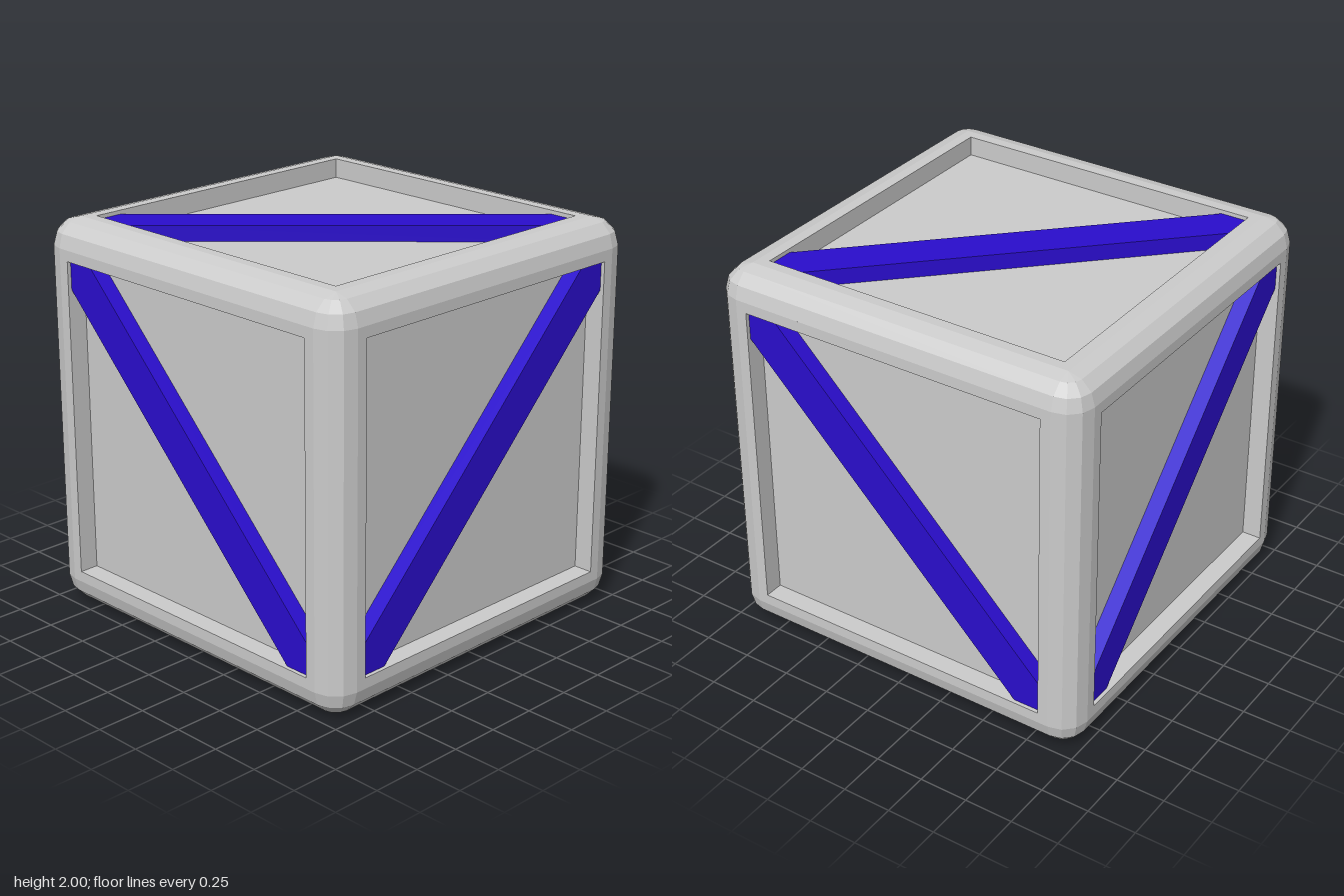
import * as THREE from 'three';

const R = 0.135;          // edge rounding radius
const FLAT = 1 - R;       // half-size of the flat part of a face
const INNER = 0.81;       // half-size of the recessed panel
const FLOOR = 0.9;        // panel distance from the centre
const CUT = 0.145;        // bar corner cut
const BAR_TOP = 0.98;

const points = list => list.map(([x, y]) => new THREE.Vector2(x, y));
const square = s => points([[-s, -s], [s, -s], [s, s], [-s, s]]);

export function createModel() {
  const grey = new THREE.MeshStandardMaterial({ color: 0xcccccc, flatShading: true });
  const blue = new THREE.MeshStandardMaterial({ color: 0x2a0dcc, flatShading: true });
  const model = new THREE.Group();
  model.name = 'cube';
  const cube = new THREE.Group();
  cube.name = 'cubeBody';
  cube.position.y = 1;
  model.add(cube);

  const add = (parent, name, geometry, material) => {
    const mesh = new THREE.Mesh(geometry, material);
    mesh.name = name;
    parent.add(mesh);
    return mesh;
  };

  // Face parts, built facing +z
  const frameShape = new THREE.Shape(square(FLAT));
  frameShape.holes.push(new THREE.Path(square(INNER).reverse()));
  const frameGeo = new THREE.ExtrudeGeometry(frameShape, { depth: 1 - FLOOR, bevelEnabled: false })
    .translate(0, 0, FLOOR);
  const panelGeo = new THREE.PlaneGeometry(2 * INNER, 2 * INNER).translate(0, 0, FLOOR);
  const k = INNER - CUT;
  const barShape = new THREE.Shape(points([
    [-INNER, INNER], [-INNER, k], [k, -INNER], [INNER, -INNER], [INNER, -k], [-k, INNER],
  ]));
  const barGeo = new THREE.ExtrudeGeometry(barShape, { depth: BAR_TOP - FLOOR, bevelEnabled: false })
    .translate(0, 0, FLOOR);

  // Six faces: the bars follow the edges of a tetrahedron
  const q = Math.PI / 2;
  const faces = [
    ['front', 0, 0, 0], ['back', 0, 2 * q, 0],
    ['left', 0, q, q], ['right', 0, -q, q],
    ['top', -q, 0, q], ['bottom', q, 0, q],
  ];
  for (const [name, rx, ry, roll] of faces) {
    const face = new THREE.Group();
    face.name = name + 'Face';
    face.rotation.set(rx, ry, 0);
    add(face, 'rim', frameGeo, grey);
    add(face, 'recessedPanel', panelGeo, grey);
    add(face, 'diagonalBar', barGeo, blue).rotation.z = roll;
    cube.add(face);
  }

  // Twelve rounded edges: four around each axis
  const edgeGeo = new THREE.CylinderGeometry(R, R, 2 * FLAT, 3, 1, true, 0, q)
    .translate(FLAT, 0, FLAT);
  const diagonal = new THREE.Vector3(1, 1, 1).normalize();
  for (let axis = 0; axis < 3; axis++) {
    const edges = new THREE.Group();
    edges.name = 'roundedEdges';
    edges.quaternion.setFromAxisAngle(diagonal, axis * 2 * Math.PI / 3);
    for (let i = 0; i < 4; i++) add(edges, 'roundedEdge', edgeGeo, grey).rotation.y = i * q;
    cube.add(edges);
  }

  // Eight rounded corners
  const cornerGeo = new THREE.SphereGeometry(R, 3, 3, q, q, 0, q).translate(FLAT, FLAT, FLAT);
  for (const flip of [0, Math.PI]) {
    const corners = new THREE.Group();
    corners.name = 'roundedCorners';
    corners.rotation.x = flip;
    for (let i = 0; i < 4; i++) add(corners, 'roundedCorner', cornerGeo, grey).rotation.y = i * q;
    cube.add(corners);
  }
  return model;
}
